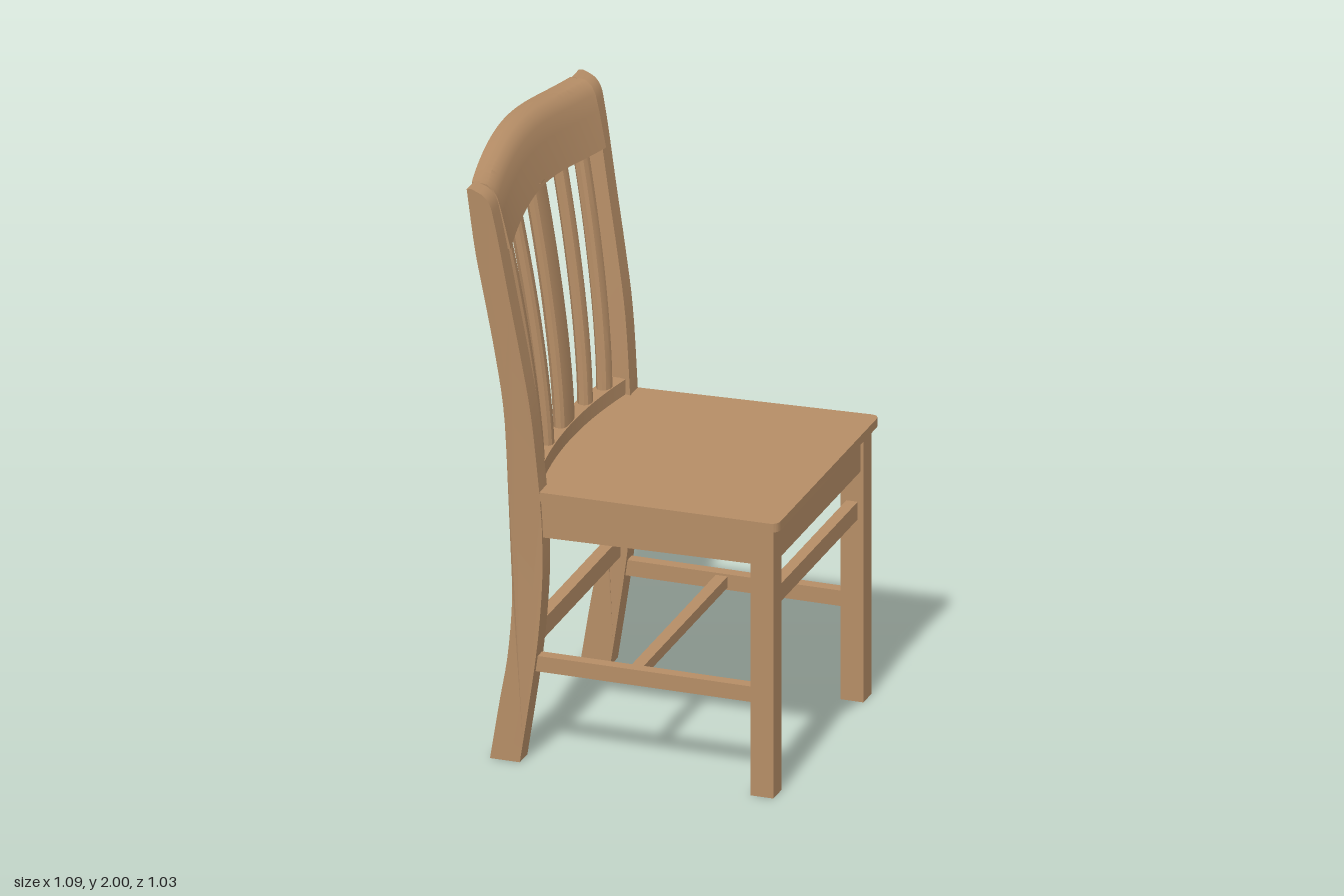
import * as THREE from 'three';
import { toCreasedNormals } from 'three/addons/utils/BufferGeometryUtils.js';

const wood = new THREE.MeshStandardMaterial({ color: 0xb58d66 });
wood.name = 'wood';

// Moves every vertex by a rule
function warp(geo, rule) {
  const p = geo.attributes.position;
  const v = new THREE.Vector3();
  for (let i = 0; i < p.count; i++) {
    rule(v.fromBufferAttribute(p, i));
    p.setXYZ(i, v.x, v.y, v.z);
  }
  return geo;
}

// Solid through a row of equal-sized convex rings of Vector3
function loft(rings) {
  const n = rings[0].length;
  const pos = rings.flat().flatMap((v) => [v.x, v.y, v.z]);
  const idx = [];
  for (let r = 0; r < rings.length - 1; r++) {
    for (let i = 0; i < n; i++) {
      const a = r * n + i, b = r * n + ((i + 1) % n);
      idx.push(a, b, b + n, a, b + n, a + n);
    }
  }
  const end = (rings.length - 1) * n;
  for (let i = 1; i < n - 1; i++) idx.push(0, i + 1, i, end, end + i, end + i + 1);
  // Turn the faces outward if the rings ran the other way
  const all = rings.flat();
  let volume = 0;
  const c = new THREE.Vector3();
  for (let i = 0; i < idx.length; i += 3) volume += c.crossVectors(all[idx[i + 1]], all[idx[i + 2]]).dot(all[idx[i]]);
  if (volume < 0) idx.reverse();
  const geo = new THREE.BufferGeometry();
  geo.setAttribute('position', new THREE.Float32BufferAttribute(pos, 3));
  geo.setIndex(idx);
  return geo;
}

const steps = (n, a, b) => Array.from({ length: n + 1 }, (_, i) => a + ((b - a) * i) / n);
const tilt = (v) => { v.y += (v.x + 0.27) * 0.018; };

export function createModel() {
  const chair = new THREE.Group();
  chair.name = 'chair';

  const add = (name, geo) => {
    const mesh = new THREE.Mesh(toCreasedNormals(geo, 0.5), wood);
    mesh.name = name;
    chair.add(mesh);
    return mesh;
  };
  const bar = (x0, x1, y0, y1, z0, z1) =>
    new THREE.BoxGeometry(x1 - x0, y1 - y0, Math.abs(z1 - z0)).translate((x0 + x1) / 2, (y0 + y1) / 2, (z0 + z1) / 2);

  // Seat: rounded front corners, back edge scooped between the posts
  const s = new THREE.Shape();
  s.moveTo(-0.265, -0.452);
  s.lineTo(0.512, -0.47);
  s.quadraticCurveTo(0.543, -0.47, 0.543, -0.438);
  s.lineTo(0.543, 0.438);
  s.quadraticCurveTo(0.543, 0.47, 0.512, 0.47);
  s.lineTo(-0.265, 0.452);
  s.lineTo(-0.28, 0.39);
  s.quadraticCurveTo(-0.36, 0, -0.28, -0.39);
  const seat = new THREE.ExtrudeGeometry(s, { depth: 0.03, bevelEnabled: false, curveSegments: 14 });
  seat.rotateX(Math.PI / 2).translate(0, 0.935, 0);
  add('seat', warp(seat, tilt));

  // Side outline of a back post: S-curved leg and upright with a rounded top
  const front = new THREE.SplineCurve([
    [-0.33, 0], [-0.277, 0.36], [-0.256, 0.6], [-0.255, 0.78], [-0.265, 0.95], [-0.286, 1.2],
    [-0.316, 1.4], [-0.35, 1.6], [-0.383, 1.8], [-0.402, 1.9],
  ].map((p) => new THREE.Vector2(...p)));
  const back = new THREE.SplineCurve([
    [-0.485, 1.967], [-0.462, 1.76], [-0.435, 1.6], [-0.402, 1.4], [-0.377, 1.2], [-0.368, 0.95],
    [-0.36, 0.72], [-0.356, 0.55], [-0.371, 0.36], [-0.398, 0.2], [-0.43, 0],
  ].map((p) => new THREE.Vector2(...p)));
  const outline = new THREE.Shape(front.getPoints(36));
  outline.quadraticCurveTo(-0.411, 1.945, -0.445, 1.96);
  outline.lineTo(-0.47, 1.97);
  for (const p of back.getPoints(36)) outline.lineTo(p.x, p.y);

  for (const side of [1, -1]) {
    const label = side > 0 ? 'Left' : 'Right';

    // Back post, leaning outward above the seat
    const post = new THREE.ExtrudeGeometry(outline, { depth: 0.07, bevelEnabled: false, curveSegments: 6 });
    post.translate(0, 0, side > 0 ? 0.38 : -0.45);
    add('backPost' + label, warp(post, (v) => { v.z += side * Math.max(0, v.y - 0.9) * 0.06; }));

    add('frontLeg' + label, bar(0.445, 0.522, 0, 0.919, side * 0.376, side * 0.45));
    add('sideApron' + label, warp(bar(-0.3, 0.45, 0.778, 0.906, side * 0.4, side * 0.442), tilt));
    add('sideStretcher' + label, bar(-0.31, 0.45, 0.312, 0.365, side * 0.392, side * 0.432));
  }

  // Cross bars
  add('frontApron', bar(0.472, 0.512, 0.79, 0.919, -0.38, 0.38));
  add('frontStretcher', bar(0.465, 0.503, 0.625, 0.685, -0.38, 0.38));
  add('middleStretcher', bar(0.02, 0.06, 0.32, 0.358, -0.4, 0.4));
  add('backStretcher', bar(-0.335, -0.295, 0.38, 0.445, -0.39, 0.39));

  // Curved lower back rail
  const railFront = (z) => -0.32 + 0.25 * z * z;
  add('lowerBackRail', loft(steps(20, -0.395, 0.395).map((z) => {
    const x = railFront(z);
    return [[x, 0.78], [x, 0.985], [x - 0.055, 0.985], [x - 0.055, 0.78]].map((p) => new THREE.Vector3(p[0], p[1], z));
  })));

  // Crest rail: bowed backward, arched, with a rounded upper front edge
  const section = [
    [-0.42, 1.78], [-0.446, 1.9], [-0.46, 1.955], [-0.474, 1.98], [-0.495, 1.996],
    [-0.52, 2], [-0.546, 1.998], [-0.528, 1.9], [-0.504, 1.78],
  ];
  add('crestRail', loft(steps(32, -1, 1).map((t) => section.map(([x, y]) => {
    const yy = y - 0.016 * (1 - Math.cos(Math.PI * t));
    return new THREE.Vector3(x + 0.055 * t * t, yy, t * (0.437 + (y - 1.76) * 0.06));
  }))));

  // Slats: bent backward, fanned outward, turned to follow the bow
  const slat = (name, z0, z1, width, top) => {
    const w = width / 2, d = 0.044, r = 0.013;
    const ring = [
      [-d, -w + r], [-d + r, -w], [-r, -w], [-r * 0.3, -w + r * 0.7], [0, -w + r * 2],
      [0, w - r * 2], [-r * 0.3, w - r * 0.7], [-r, w], [-d + r, w], [-d, w - r],
    ];
    const turn = Math.atan(0.8 * z0), c = Math.cos(turn), n = Math.sin(turn);
    add(name, loft(steps(14, 0, 1).map((t) => {
      const x = railFront(z0) - 0.003 - 0.1 * Math.pow(t, 1.5);
      const z = z0 + (z1 - z0) * t;
      return ring.map(([a, b]) => new THREE.Vector3(x + a * c + b * n, 0.975 + (top - 0.975) * t, z - a * n + b * c));
    })));
  };
  slat('centreSlat', 0, 0, 0.11, 1.795);
  for (const side of [1, -1]) {
    const label = side > 0 ? 'Left' : 'Right';
    slat('innerSlat' + label, side * 0.17, side * 0.202, 0.052, 1.785);
    slat('outerSlat' + label, side * 0.3, side * 0.349, 0.054, 1.775);
  }

  return chair;
}
